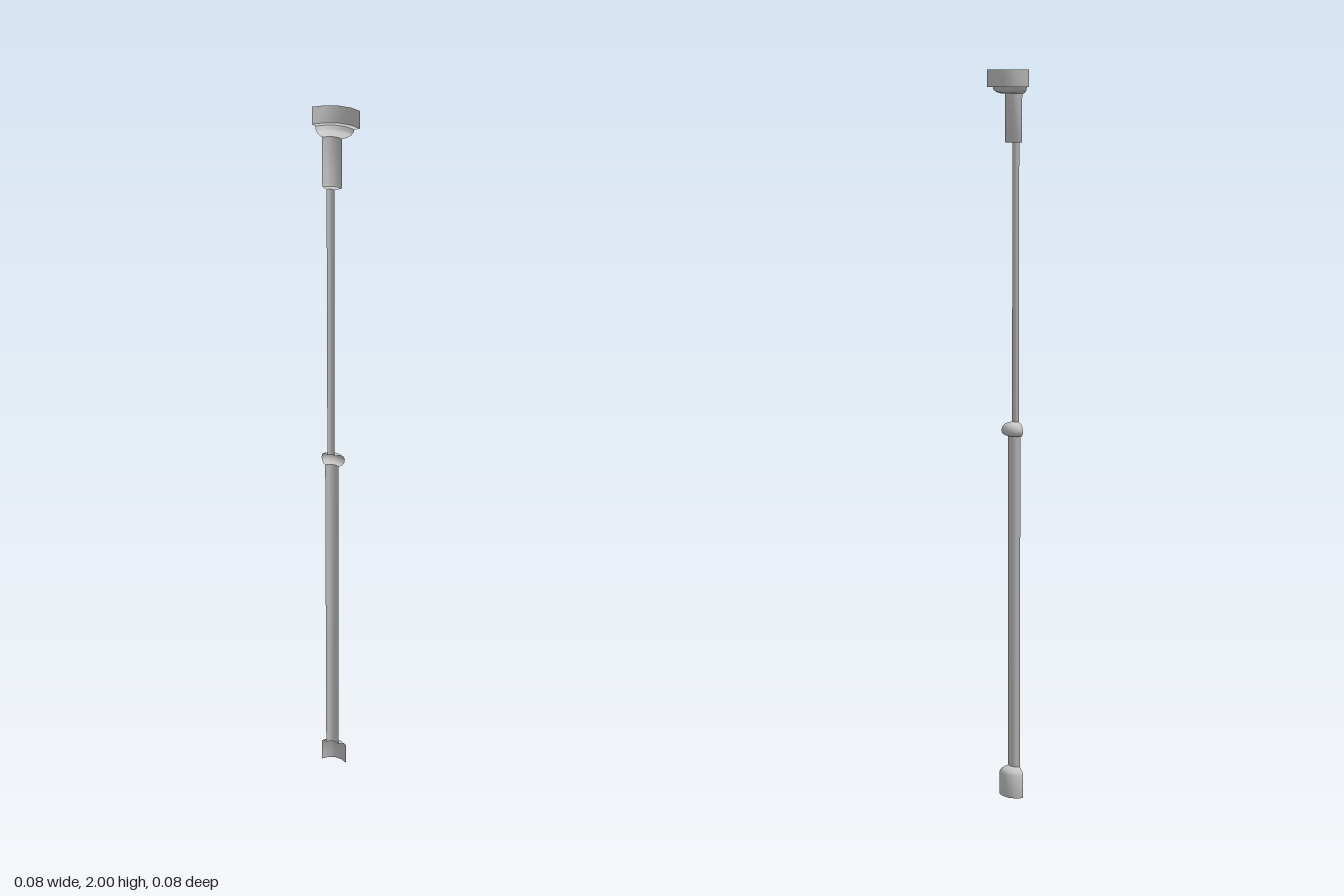
import * as THREE from 'three';
import { toCreasedNormals } from 'three/addons/utils/BufferGeometryUtils.js';

const SEGMENTS = 4; // facets per quarter turn
const AXIS = 0.042; // distance of the pole axis from the centre in x and z

// Profiles as [radius, height], from bottom to top
const PARTS = {
  base: [[0.052, 0], [0.052, 0.068], [0.046, 0.077], [0.034, 0.082], [0.026, 0.084]],
  lowerPole: [[0.026, 0.084], [0.026, 1.038]],
  collar: [[0.026, 1.038], [0.036, 1.039], [0.043, 1.045], [0.045, 1.054],
    [0.042, 1.064], [0.034, 1.071], [0.014, 1.075]],
  upperRod: [[0.014, 1.075], [0.014, 1.816]],
  sleeve: [[0.014, 1.816], [0.033, 1.816], [0.035, 1.82], [0.035, 1.94]],
  capMoulding: [[0.035, 1.94], [0.05, 1.941], [0.06, 1.945], [0.066, 1.95], [0.068, 1.957]],
  cap: [[0.068, 1.957], [0.084, 1.957], [0.084, 2]],
};

export function createModel() {
  const group = new THREE.Group();
  group.name = 'quarterPole';
  const material = new THREE.MeshStandardMaterial({ color: 0xcccccc, side: THREE.DoubleSide });

  // Each part is an open quarter-turn shell facing +x and -z
  for (const [name, profile] of Object.entries(PARTS)) {
    const points = profile.map(([r, y]) => new THREE.Vector2(r, y));
    const shell = new THREE.LatheGeometry(points, SEGMENTS, Math.PI / 2, Math.PI / 2);
    const mesh = new THREE.Mesh(toCreasedNormals(shell, 0.75), material);
    mesh.name = name;
    mesh.position.set(-AXIS, 0, AXIS);
    group.add(mesh);
  }
  return group;
}
